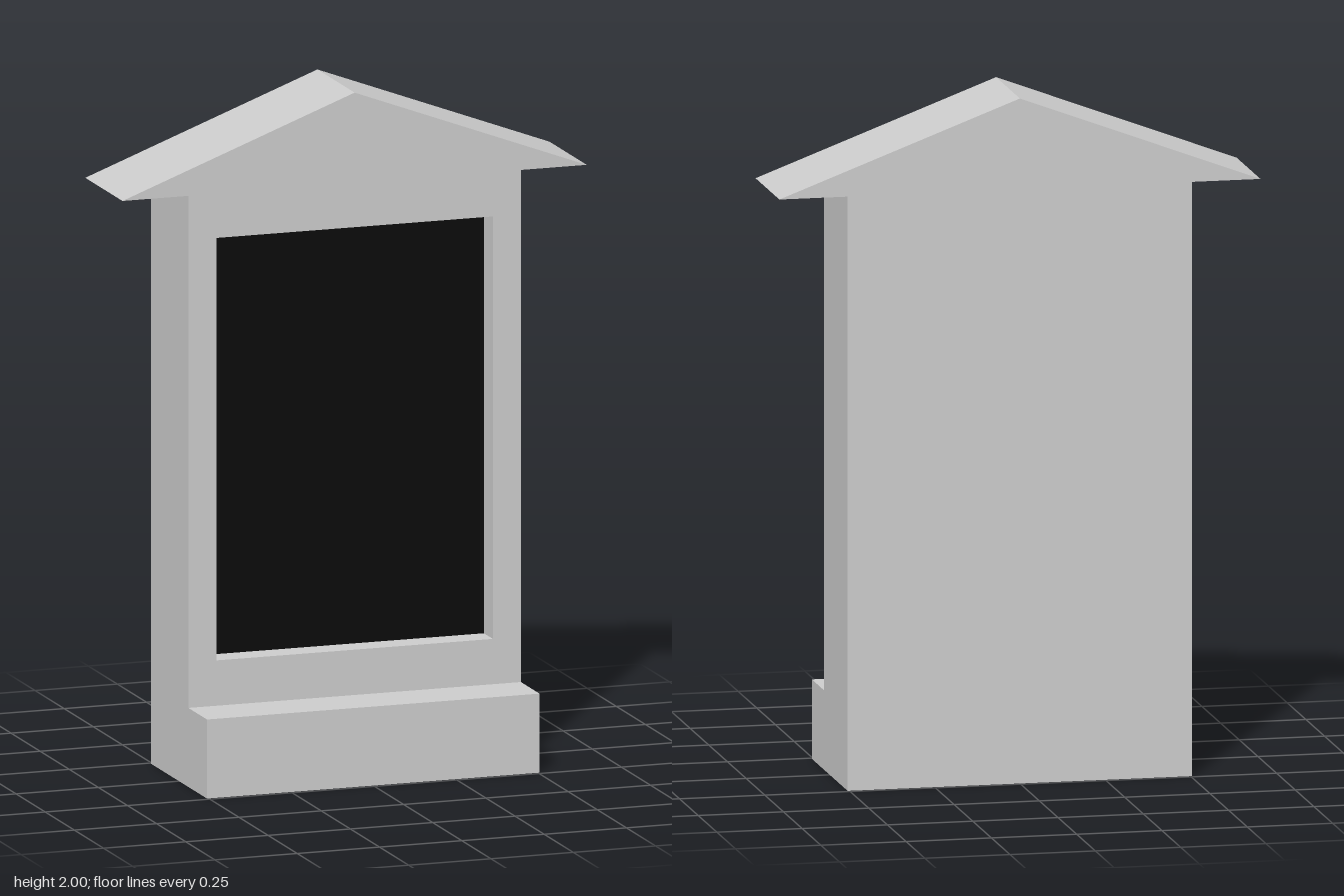
import * as THREE from 'three';

const grey = new THREE.MeshStandardMaterial({ color: 0xcccccc, flatShading: true });
const black = new THREE.MeshStandardMaterial({ color: 0x0a0a0a });

const BODY = 0.505, EAVE = 0.705, EAVE_Y = 1.735, TOP = 2;
const BACK = -0.24, RECESS = 0, FRONT = 0.08, LEDGE_FRONT = 0.24;
const OPEN = { x: 0.42, y0: 0.365, y1: 1.605 };

// Gabled outline with overhanging eaves
function houseShape() {
  return new THREE.Shape([
    [-BODY, 0], [BODY, 0], [BODY, EAVE_Y], [EAVE, EAVE_Y],
    [0, TOP], [-EAVE, EAVE_Y], [-BODY, EAVE_Y],
  ].map(([x, y]) => new THREE.Vector2(x, y)));
}

function addMesh(group, name, geometry, material, x = 0, y = 0, z = 0) {
  const mesh = new THREE.Mesh(geometry, material);
  mesh.name = name;
  mesh.position.set(x, y, z);
  group.add(mesh);
}

function slab(shape, z0, z1) {
  return new THREE.ExtrudeGeometry(shape, { depth: z1 - z0, bevelEnabled: false }).translate(0, 0, z0);
}

export function createModel() {
  const group = new THREE.Group();
  group.name = 'gabledDisplayStand';

  // Solid rear part of the body and roof
  addMesh(group, 'backBody', slab(houseShape(), BACK, RECESS), grey);

  // Front frame with the rectangular opening
  const frame = houseShape();
  frame.holes.push(new THREE.Path([
    [-OPEN.x, OPEN.y0], [-OPEN.x, OPEN.y1], [OPEN.x, OPEN.y1], [OPEN.x, OPEN.y0],
  ].map(([x, y]) => new THREE.Vector2(x, y))));
  addMesh(group, 'frontFrame', slab(frame, RECESS, FRONT), grey);

  // Dark panel at the bottom of the recess
  addMesh(group, 'darkPanel', new THREE.PlaneGeometry(2 * OPEN.x, OPEN.y1 - OPEN.y0), black,
    0, (OPEN.y0 + OPEN.y1) / 2, RECESS + 0.002);

  // Projecting ledge at the foot
  const ledgeHeight = 0.232;
  addMesh(group, 'baseLedge', new THREE.BoxGeometry(2 * BODY, ledgeHeight, LEDGE_FRONT - FRONT), grey,
    0, ledgeHeight / 2, (FRONT + LEDGE_FRONT) / 2);

  return group;
}
